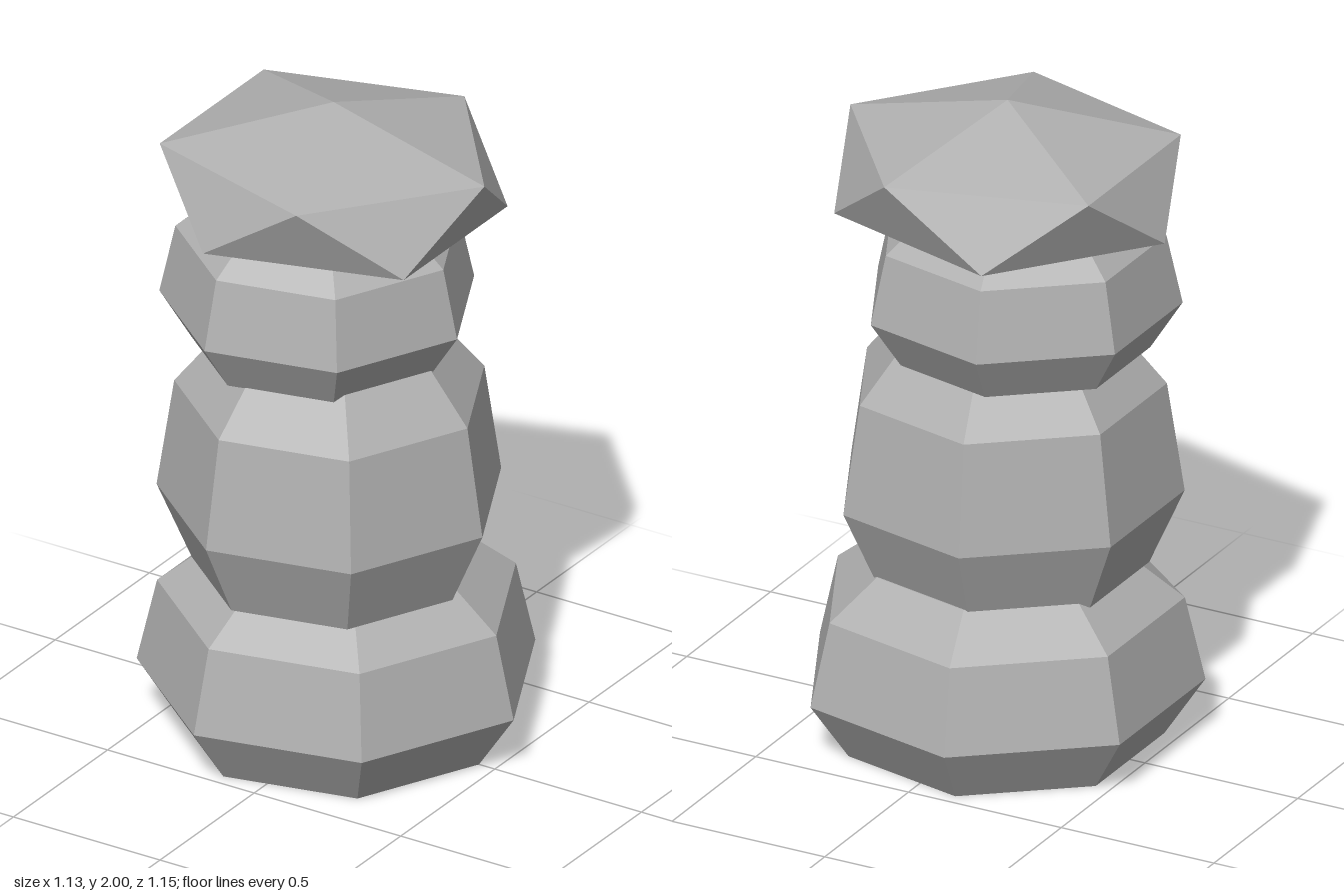
import * as THREE from 'three';

const stone = new THREE.MeshStandardMaterial({ color: 0xb0b0b0, flatShading: true });
stone.name = 'grey stone';

// Seven-sided stone with flat ends, one corner pointing to +x
function makeStone(name, radius, bottom, height, x, z) {
  const profile = [[0, 0], [0.8, 0], [1, 0.318], [0.9, 0.785], [0.65, 1], [0, 1]]
    .map(([r, h]) => new THREE.Vector2(r * radius, h * height));
  const mesh = new THREE.Mesh(new THREE.LatheGeometry(profile, 7).rotateY(Math.PI / 2), stone);
  mesh.name = name;
  mesh.position.set(x, bottom, z);
  return mesh;
}

export function createModel() {
  const group = new THREE.Group();
  group.name = 'stoneStack';

  // Stacked stones, slightly off centre from each other
  group.add(
    makeStone('baseStone', 0.59, 0, 0.55, -0.026, 0),
    makeStone('middleStone', 0.51, 0.527, 0.723, -0.03, 0.035),
    makeStone('upperStone', 0.466, 1.222, 0.453, -0.079, 0.025),
  );

  // Squashed twenty-sided cap standing on one of its corners
  const cap = new THREE.IcosahedronGeometry(1, 0);
  cap.rotateZ(-Math.atan(2 / (1 + Math.sqrt(5))));
  cap.scale(0.575, 0.235, 0.525);
  const capStone = new THREE.Mesh(cap, stone);
  capStone.name = 'capStone';
  capStone.position.set(-0.05, 1.765, 0);
  group.add(capStone);

  return group;
}
